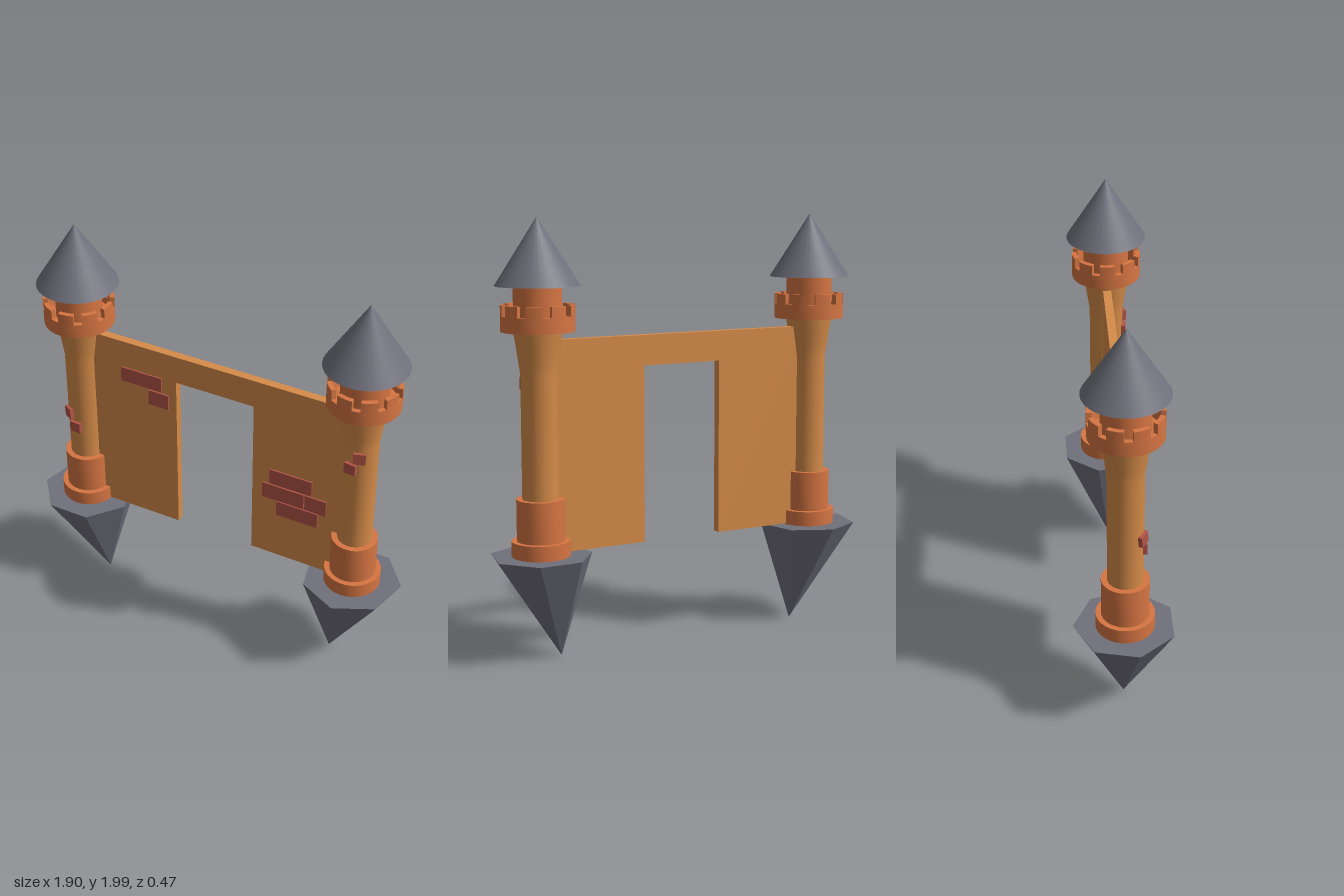
import * as THREE from 'three';
import { toCreasedNormals } from 'three/addons/utils/BufferGeometryUtils.js';

const material = (name, color) => {
  const m = new THREE.MeshStandardMaterial({ color });
  m.name = name;
  return m;
};

export function createModel() {
  const sand = material('sandstone', 0xd68c49);
  const clay = material('orange clay', 0xd67542);
  const red = material('red brick', 0xb35548);
  const slate = material('grey slate', 0x70707c);
  const model = new THREE.Group();
  model.name = 'castleGate';

  const add = (parent, name, geometry, mat) => {
    const mesh = new THREE.Mesh(geometry, mat);
    mesh.name = name;
    parent.add(mesh);
    return mesh;
  };
  const turned = (points) => toCreasedNormals(
    new THREE.LatheGeometry(points.map(([r, y]) => new THREE.Vector2(r, y)), 32), 0.5);

  // Battlement tooth: an arc of the parapet ring
  const tooth = (angle, half) => {
    const s = new THREE.Shape();
    s.absarc(0, 0, 0.165, angle - half, angle + half, false);
    s.absarc(0, 0, 0.142, angle + half, angle - half, true);
    const g = new THREE.ExtrudeGeometry(s, { depth: 0.05, bevelEnabled: false, curveSegments: 5 });
    return g.rotateX(-Math.PI / 2).translate(0, 1.568, 0);
  };

  // Seven-sided pointed rock with its tip leaning towards the gate
  const rockGeometry = () => {
    const g = new THREE.ConeGeometry(0.235, 0.48, 7).rotateX(Math.PI).toNonIndexed();
    const p = g.attributes.position;
    for (let i = 0; i < p.count; i++) if (p.getY(i) < -0.23) p.setX(i, 0.095);
    g.computeVertexNormals();
    return g.translate(0, 0.25, 0);
  };

  function tower(name) {
    const t = new THREE.Group();
    t.name = name;
    add(t, 'rock', rockGeometry(), slate);
    add(t, 'towerBase', turned([[0, 0.488], [0.133, 0.488], [0.133, 0.56], [0.108, 0.56],
      [0.108, 0.75], [0.07, 0.75]]), clay);
    add(t, 'shaft', turned([[0.081, 0.74], [0.081, 1.31], [0.088, 1.36], [0.1, 1.44], [0.11, 1.505]]), sand);
    add(t, 'parapet', turned([[0.08, 1.5], [0.165, 1.5], [0.165, 1.57], [0.142, 1.57],
      [0.142, 1.53], [0.1, 1.53]]), clay);
    for (let i = 0; i < 9; i++) add(t, 'battlement', tooth(i * Math.PI * 2 / 9, 0.23), clay);
    add(t, 'neck', new THREE.CylinderGeometry(0.108, 0.108, 0.19, 32).translate(0, 1.61, 0), clay);
    add(t, 'roof', new THREE.ConeGeometry(0.19, 0.3, 32).translate(0, 1.85, 0), slate);
    model.add(t);
    return t;
  }

  // Towers: the second is the first turned half round
  tower('rightTower').position.x = -0.72;
  const left = tower('leftTower');
  left.position.x = 0.72;
  left.rotation.y = Math.PI;

  // Wall with doorway
  const wall = new THREE.Shape();
  [[-0.66, 0.495], [-0.2, 0.495], [-0.2, 1.32], [0.2, 1.32], [0.2, 0.495], [0.66, 0.495],
    [0.66, 1.46], [-0.66, 1.46]].forEach(([x, y], i) => (i ? wall.lineTo(x, y) : wall.moveTo(x, y)));
  add(model, 'wall', new THREE.ExtrudeGeometry(wall, { depth: 0.04, bevelEnabled: false })
    .translate(0, 0, -0.02), sand);

  // Exposed bricks on the wall front: x0, x1, y0, y1
  [[-0.49, -0.275, 1.245, 1.32], [-0.345, -0.24, 1.155, 1.235], [0.29, 0.505, 0.92, 1.0],
    [0.255, 0.467, 0.83, 0.912], [0.473, 0.58, 0.83, 0.912], [0.33, 0.54, 0.745, 0.824]]
    .forEach(([x0, x1, y0, y1]) => {
      add(model, 'wallBrick', new THREE.BoxGeometry(x1 - x0, y1 - y0, 0.009), red)
        .position.set((x0 + x1) / 2, (y0 + y1) / 2, 0.0235);
    });

  // Exposed bricks on the towers: tower x, turn about the shaft, height, tilt
  [[-0.72, -0.55, 0.995, 0.12], [-0.72, -0.06, 0.93, 0], [0.72, 0.33, 1.265, 0], [0.72, -0.12, 1.2, 0]]
    .forEach(([x, turn, y, tilt]) => {
      const brick = add(model, 'towerBrick', new THREE.BoxGeometry(0.056, 0.054, 0.03), red);
      brick.position.set(x + 0.08 * Math.sin(turn), y, 0.08 * Math.cos(turn));
      brick.rotation.set(0, turn, tilt);
    });

  return model;
}
